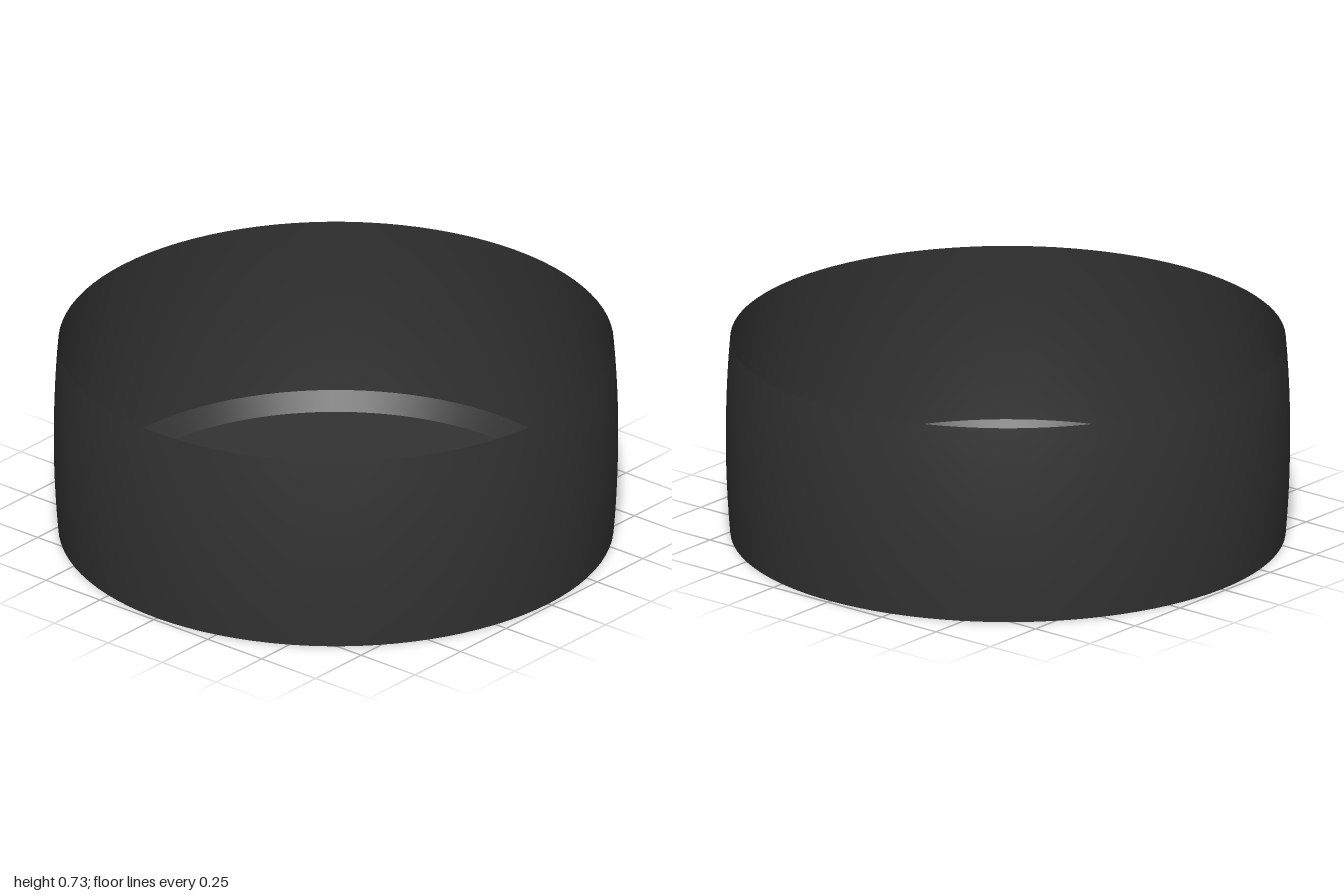
import * as THREE from 'three';

export function createModel() {
  const model = new THREE.Group();
  const charcoal = new THREE.MeshStandardMaterial({ color: 0x333333, side: THREE.DoubleSide });
  charcoal.name = 'charcoal';

  function add(name, geometry) {
    const mesh = new THREE.Mesh(geometry, charcoal);
    mesh.name = name;
    model.add(mesh);
    return mesh;
  }

  // Thin outer wall, bulging slightly at mid height
  const height = 0.727;
  const wall = [];
  for (let i = 0; i <= 12; i++) {
    const t = i / 12;
    wall.push(new THREE.Vector2(0.984 + 0.016 * (1 - (2 * t - 1) ** 2), t * height));
  }
  add('outerWall', new THREE.LatheGeometry(wall, 96));

  // Flared ring standing inside the wall, open at both ends
  const flare = [new THREE.Vector2(0.84, 0), new THREE.Vector2(0.903, 0.105)];
  add('flaredRing', new THREE.LatheGeometry(flare, 96));

  // Flat floor disc with a square opening
  const disc = new THREE.Shape().absarc(0, 0, 0.838, 0, Math.PI * 2, false);
  const h = 0.254;
  disc.holes.push(new THREE.Path([
    new THREE.Vector2(-h, -h),
    new THREE.Vector2(-h, h),
    new THREE.Vector2(h, h),
    new THREE.Vector2(h, -h),
    new THREE.Vector2(-h, -h),
  ]));
  const floor = add('floorDisc', new THREE.ShapeGeometry(disc, 96));
  floor.rotation.x = -Math.PI / 2;
  floor.position.y = 0.05;

  return model;
}
